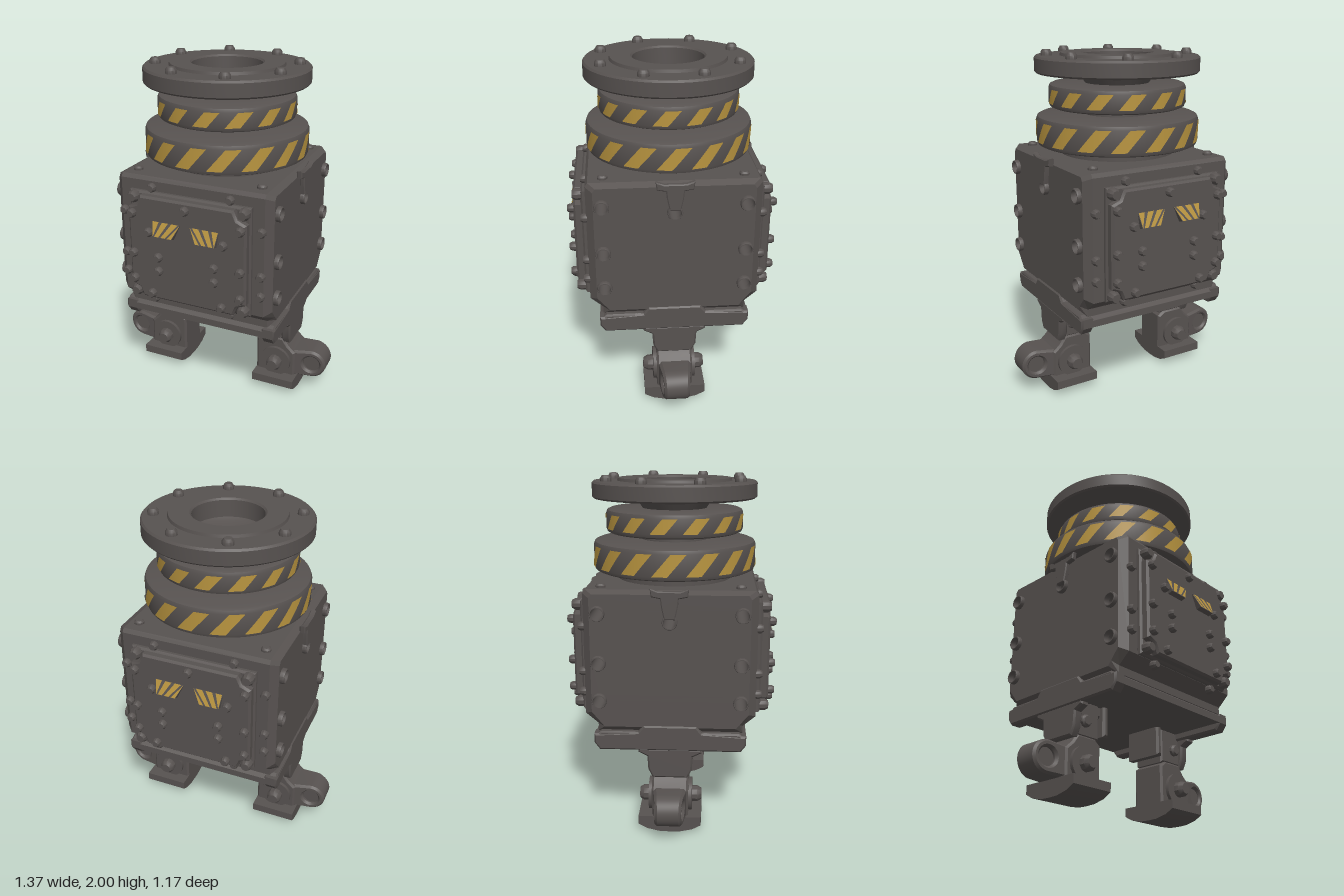
import * as THREE from 'three';
import { toCreasedNormals } from 'three/addons/utils/BufferGeometryUtils.js';

const metal = new THREE.MeshStandardMaterial({ color: 0x575250 });
metal.name = 'dark metal';
const yellow = new THREE.MeshStandardMaterial({ color: 0xb8943f });
yellow.name = 'hazard yellow';

function add(parent, name, geo, mat = metal) {
  const m = new THREE.Mesh(geo, mat);
  m.name = name;
  parent.add(m);
  return m;
}
const crease = (g, a = 0.55) => toCreasedNormals(g, a);
const poly = (pts) => new THREE.Shape(pts.map((p) => new THREE.Vector2(p[0], p[1])));
const lathe = (pts, n = 64) => crease(new THREE.LatheGeometry(pts.map((p) => new THREE.Vector2(p[0], p[1])), n));

// slab of an x-y shape between z0 and z1, with an optional chamfer
function slabZ(shape, z0, z1, bevel = 0) {
  const g = new THREE.ExtrudeGeometry(shape, {
    depth: z1 - z0 - 2 * bevel, curveSegments: 12, bevelEnabled: bevel > 0,
    bevelSize: bevel, bevelThickness: bevel, bevelOffset: -bevel, bevelSegments: 1,
  });
  g.translate(0, 0, z0 + bevel);
  return crease(g);
}
// slab of a z-y shape between x0 and x1
const slabX = (shape, x0, x1, bevel = 0) => slabZ(shape, x0, x1, bevel).rotateY(Math.PI / 2);

function box(parent, name, x0, x1, y0, y1, z) {
  return add(parent, name, slabZ(poly([[x0, y0], [x1, y0], [x1, y1], [x0, y1]]), -z, z, 0.012));
}
function circleHole(x, y, r) {
  const p = new THREE.Path();
  p.absarc(x, y, r, 0, Math.PI * 2, true);
  return p;
}
// bolt head standing at a point; axis is 'x', 'y' or 'z', sign is its direction
function bolt(parent, x, y, z, axis, sign, r = 0.026, h = 0.035) {
  const g = lathe([[r, 0], [r, h * 0.6], [r * 0.7, h], [0, h]], 10);
  if (axis === 'z') g.rotateX(sign * Math.PI / 2);
  add(parent, 'bolt', g).position.set(x, y, z);
}

// skin through matching cross-sections placed along x
function skin(rings) {
  const pos = [];
  for (let i = 0; i + 1 < rings.length; i++) {
    const a = rings[i], b = rings[i + 1], n = a.length;
    for (let j = 0; j < n; j++) {
      const k = (j + 1) % n;
      pos.push(...a[j], ...a[k], ...b[k], ...a[j], ...b[k], ...b[j]);
    }
  }
  const g = new THREE.BufferGeometry();
  g.setAttribute('position', new THREE.Float32BufferAttribute(pos, 3));
  g.computeVertexNormals();
  return g;
}

function makeBody(root) {
  const body = new THREE.Group();
  body.name = 'body';
  root.add(body);
  const outline = (d) => [
    [-0.41 + d, 0.59 + d], [0.41 - d, 0.59 + d], [0.41 - d / 2, 0.635 + d / 2], [0.48 - d, 0.695 + d / 2],
    [0.48 - d, 1.39 - d / 2], [0.465 - d, 1.412 - d / 2], [-0.465 + d, 1.412 - d / 2], [-0.48 + d, 1.39 - d / 2],
    [-0.48 + d, 0.695 + d / 2], [-0.41 + d / 2, 0.635 + d / 2],
  ];
  // core with bolt holes running through it
  const face = poly(outline(0.04));
  const spots = [];
  for (const z of [-0.395, 0.395]) for (const y of [0.785, 1.005, 1.285]) spots.push([z, y]);
  spots.forEach(([z, y]) => face.holes.push(circleHole(z, y, 0.036)));
  face.holes.push(circleHole(0, 1.245, 0.036));
  add(body, 'bodyCore', slabX(face, -0.47, 0.47));
  // chamfered outer skin
  const ring = (x, d) => outline(d).map(([z, y]) => [x, y, z]);
  add(body, 'bodySkin', skin([ring(0.47, 0.04), ring(0.43, 0), ring(-0.43, 0), ring(-0.47, 0.04)]));
  for (const s of [-1, 1]) {
    // rims round the side holes
    for (const [z, y] of [...spots, [0, 1.245]]) {
      const g = lathe([[0.043, -0.01], [0.043, 0.018], [0.04, 0.025], [0.035, 0.025], [0.035, -0.01]], 14);
      add(body, 'holeRim', g.rotateZ(-s * Math.PI / 2)).position.set(s * 0.47, y, z);
    }
    // hanging latch
    const latch = poly([[-0.105, 1.43], [-0.1, 1.385], [-0.05, 1.375], [-0.045, 1.33], [-0.03, 1.26], [0.03, 1.26],
      [0.045, 1.33], [0.05, 1.375], [0.1, 1.385], [0.105, 1.43], [0.06, 1.415], [-0.06, 1.415]]);
    add(body, 'latch', s > 0 ? slabX(latch, 0.465, 0.497, 0.006) : slabX(latch, -0.497, -0.465, 0.006));
    for (const z of [-0.385, 0.385]) bolt(body, s * 0.375, 1.408, z, 'y', 1, 0.028, 0.025);
  }
  // base plate and side rails
  add(body, 'basePlate', slabX(poly([[-0.43, 0.53], [0.43, 0.53], [0.43, 0.57], [0.39, 0.6], [-0.39, 0.6], [-0.43, 0.57]]), -0.475, 0.475, 0.01));
  const rail = poly([[-0.43, 0.53], [-0.4, 0.49], [0.4, 0.49], [0.43, 0.53], [0.43, 0.585], [0.18, 0.6], [0.15, 0.64],
    [-0.15, 0.64], [-0.18, 0.6], [-0.43, 0.585]]);
  add(body, 'leftRail', slabX(rail, 0.4, 0.478, 0.01));
  add(body, 'rightRail', slabX(rail, -0.478, -0.4, 0.01));
}

// riveted hatch with two striped wedges, built facing +z
function makeHatch() {
  const g = new THREE.Group();
  g.name = 'hatch';
  box(g, 'hatchBack', -0.365, 0.365, 0.695, 1.335, 0.02).position.z = 0.49;
  const w = 0.355, lo = 0.705, hi = 1.325, c = 0.075;
  add(g, 'hatchPlate', slabZ(poly([
    [-w + c, lo], [w - c, lo], [w - c * 0.7, lo + c * 0.7], [w, lo + c], [w, hi - c], [w - c * 0.7, hi - c * 0.7],
    [w - c, hi], [-w + c, hi], [-w + c * 0.7, hi - c * 0.7], [-w, hi - c], [-w, lo + c], [-w + c * 0.7, lo + c * 0.7],
  ]), 0.48, 0.552, 0.012));
  bolt(g, 0, 1.28, 0.55, 'z', 1);
  for (const s of [-1, 1]) {
    for (const y of [0.73, 1.305]) bolt(g, s * 0.33, y, 0.505, 'z', 1, 0.034, 0.05);
    for (const [x, y] of [[0.225, 1.12], [0.215, 0.745], [0.17, 0.975], [0.17, 0.89], [0.325, 1.22], [0.325, 0.98], [0.325, 0.82]])
      bolt(g, s * x, y, 0.55, 'z', 1);
    for (const [x, y] of [[0.235, 1.355], [0.24, 0.672], [0.415, 1.2], [0.415, 0.94], [0.415, 0.82]])
      bolt(g, s * x, y, 0.475, 'z', 1);
    // tilted wedge, its stripes running up and inward
    const eye = new THREE.Group();
    eye.name = 'stripedWedge';
    eye.position.set(0, 1.15, 0.568);
    eye.rotation.x = -0.33;
    g.add(eye);
    const bottom = (t) => [s * (0.185 - 0.115 * t), -0.042];
    const top = (t) => [s * (0.2 - 0.17 * t), 0.042];
    add(eye, 'wedge', slabZ(poly([bottom(0), bottom(1), top(1), top(0)]), -0.03, 0));
    const clamp = (t) => Math.min(1, Math.max(0, t));
    for (const a of [-0.26, 0.08, 0.42, 0.76]) {
      const b = a + 0.22;
      const pts = [bottom(clamp(a)), bottom(clamp(b)), top(clamp(b + 0.28)), top(clamp(a + 0.28))];
      add(eye, 'wedgeStripe', new THREE.ShapeGeometry(poly(pts)), yellow).position.z = 0.003;
    }
  }
  return g;
}

// rounded collar with slanted stripes
function makeCollar(root, name, r, y0, y1, count, phase) {
  const g = new THREE.Group();
  g.name = name;
  root.add(g);
  add(g, 'collar', lathe([[0.15, y0], [r - 0.025, y0], [r - 0.007, y0 + 0.008], [r, y0 + 0.026], [r, y1 - 0.026],
    [r - 0.007, y1 - 0.008], [r - 0.025, y1], [0.15, y1]], 96));
  const h = y1 - y0 - 0.054, step = (Math.PI * 2) / count;
  for (let i = 0; i < count; i++) {
    const p = new THREE.PlaneGeometry(step * r * 0.46, h, 5, 6);
    const a = p.attributes.position;
    for (let k = 0; k < a.count; k++) {
      const t = i * step + phase + (a.getX(k) + a.getY(k) * 0.85) / r;
      a.setXYZ(k, (r + 0.003) * Math.sin(t), a.getY(k) + (y0 + y1) / 2, (r + 0.003) * Math.cos(t));
    }
    p.computeVertexNormals();
    add(g, 'collarStripe', p, yellow);
  }
}

function makeNeck(root) {
  add(root, 'neckBase', lathe([[0.335, 1.4], [0.335, 1.48]]));
  makeCollar(root, 'lowerCollar', 0.472, 1.46, 1.635, 16, -0.01);
  add(root, 'neck', lathe([[0.192, 1.6], [0.192, 1.69], [0.178, 1.8], [0.22, 1.862], [0.22, 1.88]]));
  makeCollar(root, 'upperCollar', 0.397, 1.675, 1.812, 14, 0.13);
  // flange with a raised lip and a sunken centre
  add(root, 'flange', lathe([[0.15, 1.87], [0.465, 1.87], [0.475, 1.88], [0.475, 1.955], [0.465, 1.966], [0.33, 1.966],
    [0.325, 1.982], [0.21, 1.982], [0.2, 1.972], [0.195, 1.875], [0.17, 1.86], [0, 1.855]], 72));
  for (let i = 0; i < 8; i++) {
    const t = (i + 0.5) * Math.PI / 4;
    bolt(root, 0.405 * Math.sin(t), 1.962, 0.405 * Math.cos(t), 'y', 1, 0.032, 0.038);
  }
}

// leg on the +x side
function makeLeg() {
  const g = new THREE.Group();
  g.name = 'leg';
  add(g, 'hipPlate', slabX(poly([[-0.18, 0.5], [-0.18, 0.475], [-0.13, 0.45], [-0.125, 0.37], [-0.1, 0.32], [0.1, 0.32],
    [0.125, 0.37], [0.13, 0.45], [0.18, 0.475], [0.18, 0.5]]), 0.415, 0.472, 0.01));
  box(g, 'hipInnerPlate', 0.205, 0.245, 0.36, 0.54, 0.12);
  box(g, 'hipBlock', 0.26, 0.44, 0.33, 0.54, 0.1);
  box(g, 'hipBridge', 0.23, 0.31, 0.47, 0.54, 0.09);
  add(g, 'knee', slabZ(poly([[0.25, 0.08], [0.5, 0.08], [0.5, 0.25], [0.455, 0.29], [0.42, 0.34], [0.29, 0.34], [0.25, 0.31]]), -0.105, 0.105, 0.012));
  const hub = new THREE.CylinderGeometry(0.095, 0.095, 0.25, 28).rotateX(Math.PI / 2);
  add(g, 'kneeHub', crease(hub)).position.set(0.38, 0.18, 0);
  for (const s of [-1, 1]) {
    bolt(g, 0.37, 0.42, s * 0.098, 'z', s, 0.035, 0.03);
    bolt(g, 0.38, 0.18, s * 0.12, 'z', s, 0.046, 0.06);
  }
  // tapering side arm with an eyelet
  const arm = new THREE.Shape();
  arm.moveTo(0.4, 0.09);
  arm.lineTo(0.595, 0.095);
  arm.absarc(0.595, 0.185, 0.09, -Math.PI / 2, Math.PI / 2, false);
  arm.lineTo(0.4, 0.25);
  arm.closePath();
  arm.holes.push(circleHole(0.597, 0.185, 0.05));
  const ag = slabZ(arm, -0.07, 0.07, 0.012);
  const p = ag.attributes.position;
  for (let i = 0; i < p.count; i++) p.setZ(i, p.getZ(i) * (1 + Math.max(0, 0.69 - p.getX(i)) * 1.8));
  add(g, 'sideArm', crease(ag));
  add(g, 'eyeletPin', crease(new THREE.CylinderGeometry(0.055, 0.055, 0.12, 20).rotateX(Math.PI / 2))).position.set(0.597, 0.185, 0);
  // rocker foot
  add(g, 'foot', slabX(poly([[-0.18, 0.095], [-0.18, 0.045], [-0.13, 0.018], [-0.06, 0.002], [0, 0], [0.06, 0.002],
    [0.13, 0.018], [0.18, 0.045], [0.18, 0.095]]), 0.25, 0.515));
  return g;
}

export function createModel() {
  const root = new THREE.Group();
  root.name = 'bollardRobot';
  makeBody(root);
  makeNeck(root);
  for (const turn of [0, Math.PI]) {
    const hatch = makeHatch(), leg = makeLeg();
    hatch.rotation.y = leg.rotation.y = turn;
    root.add(hatch, leg);
  }
  return root;
}
